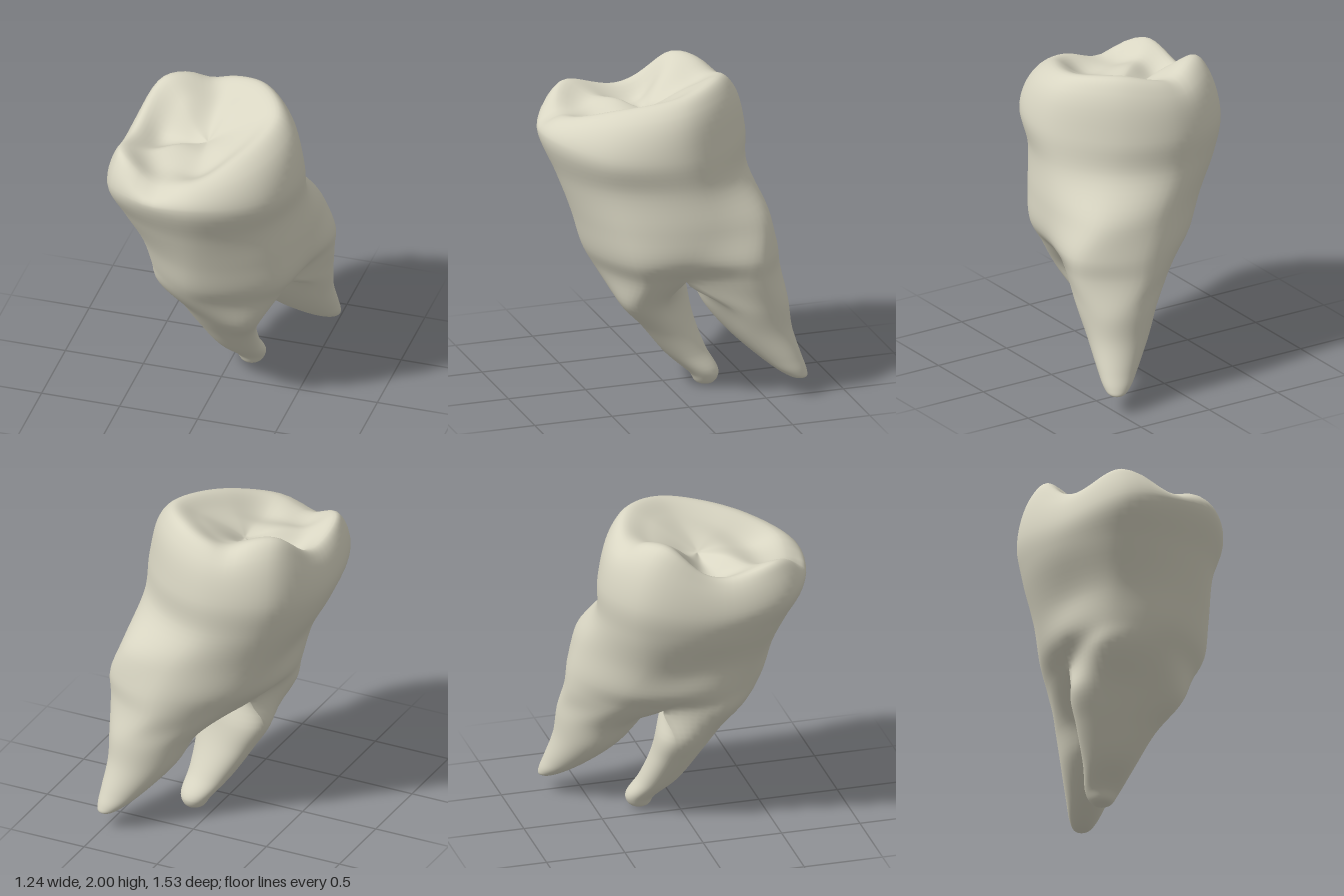
import * as THREE from 'three';
import { mergeVertices } from 'three/addons/utils/BufferGeometryUtils.js';

const N = 64;      // points round a ring
const H = N / 2;
const STEPS = 6;   // rows between two sections
const V = (x, y, z) => new THREE.Vector3(x, y, z);

// smooth closed ring through eight [x, z] or [x, y, z] corners:
// right fork, front, left fork, back, with corners between
function ring(corners, y) {
  const pts = corners.map(c => c.length === 3 ? V(...c) : V(c[0], y, c[1]));
  const curve = new THREE.CatmullRomCurve3(pts, true);
  return Array.from({ length: N }, (_, i) => curve.getPoint(i / N));
}

// elliptical root section, turned by tilt; the first half of the points
// sweeps the wide outer face, the second half the narrower face at the fork
function ellipse([y, cx, cz, a, b], tilt, start) {
  const outer = Math.PI * 1.28, inner = Math.PI * 2 - outer;
  return Array.from({ length: N }, (_, i) => {
    const t = start + Math.min(i / H, 1) * outer + Math.max(i / H - 1, 0) * inner;
    const u = a * Math.cos(t), w = b * Math.sin(t);
    return V(cx + u * Math.cos(tilt) - w * Math.sin(tilt), y,
      cz + u * Math.sin(tilt) + w * Math.cos(tilt));
  });
}

// splines run down through the sections; those before "first" and after "end" only guide the tangents
function loft(sections, first, end, out) {
  const last = sections.length - 1;
  const columns = Array.from({ length: N }, (_, i) => {
    const curve = new THREE.CatmullRomCurve3(sections.map(s => s[i]));
    const col = [];
    for (let k = 0; k <= (end - first) * STEPS; k++) {
      col.push(curve.getPoint((first + k / STEPS) / last));
    }
    return col;
  });
  for (let i = 0; i < N; i++) {
    const p = columns[i], q = columns[(i + 1) % N];
    for (let k = 0; k < p.length - 1; k++) {
      for (const v of [p[k], q[k], p[k + 1], q[k], q[k + 1], p[k + 1]]) out.push(v.x, v.y, v.z);
    }
  }
}

// crown crest with cusps, then outlines down to the fork
const rimCorners = [[0.36, 1.965, -0.01], [0.23, 1.885, 0.38], [-0.02, 1.8, 0.61], [-0.49, 1.86, 0.47],
  [-0.51, 1.79, 0.14], [-0.42, 1.99, -0.2], [-0.1, 1.95, -0.38], [0.18, 2.0, -0.29]];
const outlines = [
  [1.62, [[0.53, 0], [0.42, 0.48], [0, 1.67, 0.755], [-0.53, 1.62, 0.58], [-0.62, 1.56, 0.1], [-0.49, -0.38], [-0.1, -0.54], [0.27, -0.4]]],
  [1.4, [[0.53, -0.05], [0.39, 0.43], [0, 0.66], [-0.47, 0.48], [-0.58, 0.05], [-0.45, -0.37], [-0.08, -0.54], [0.32, -0.39]]],
  [1.15, [[0.57, -0.1], [0.42, 0.38], [-0.02, 0.575], [-0.39, 0.36], [-0.445, 0], [-0.36, -0.35], [0.08, -0.6], [0.47, -0.5]]],
  [0.94, [[0.56, -0.04], [0.44, 0.33], [-0.04, 0.51], [-0.36, 0.28], [-0.39, -0.1], [-0.22, -0.43], [0.2, -0.65], [0.59, -0.46]]],
  [0.8, [[0.45, 0], [0.4, 0.27], [-0.03, 0.435], [-0.36, 0.2], [-0.24, -0.18], [-0.1, -0.46], [0.23, -0.665], [0.59, -0.45]]],
];

// root sections: y, centre x, centre z, radius x, radius z
const frontSections = [[0.6, 0.005, 0.075, 0.35, 0.2], [0.42, 0.015, -0.015, 0.25, 0.155],
  [0.22, 0.065, -0.12, 0.16, 0.125], [0.08, 0.12, -0.225, 0.1, 0.09],
  [0.02, 0.125, -0.23, 0.06, 0.06], [0, 0.13, -0.23, 0, 0]];
const backSections = [[0.6, 0.3, -0.425, 0.28, 0.25], [0.42, 0.34, -0.5, 0.22, 0.19],
  [0.25, 0.415, -0.61, 0.145, 0.125], [0.16, 0.465, -0.68, 0.09, 0.085],
  [0.12, 0.49, -0.715, 0.05, 0.05], [0.105, 0.49, -0.725, 0, 0]];

// grooves pressed into the chewing surface: x, z, radius, depth
const grooves = [[-0.24, 0.64, 0.14, 0.08], [-0.32, 0.46, 0.13, 0.05], [-0.38, 0.0, 0.12, 0.07],
  [-0.16, 0.03, 0.13, 0.06], [-0.18, -0.38, 0.09, 0.03]];

export function createModel() {
  const group = new THREE.Group();
  group.name = 'tooth';

  // chewing basin, crest and shoulder
  const rim = ring(rimCorners);
  const body = outlines.map(([y, corners]) => ring(corners, y));
  const centre = V(-0.06, 1.79, 0.09);
  const inner = (t, height) => rim.map(p => {
    const q = p.clone().lerp(centre, t);
    q.y = height(p.y);
    return q;
  });
  const shoulder = rim.map((p, i) => {
    const q = body[0][i].clone().lerp(p, 0.4);
    q.y = THREE.MathUtils.lerp(body[0][i].y, p.y, 0.72);
    return q;
  });

  // saddle across the fork joins the two halves of the lowest outline
  const fork = body[4], above = body[3];
  const middle = fork[0].clone().lerp(fork[H], 0.5).setY(0.82);
  const saddle = new THREE.CatmullRomCurve3([fork[0], middle, fork[H]]).getPoints(H).slice(1, H);
  const shifted = dz => saddle.map(p => V(p.x, p.y + 0.01, p.z + dz));
  const frontHalf = (r, bridge) => [...r.slice(0, H + 1), ...bridge.slice().reverse()];
  const backHalf = (r, bridge) => [...r.slice(H), r[0], ...bridge];

  const frontRoot = frontSections.map(s => ellipse(s, 0.6, -0.95));
  const backRoot = backSections.map(s => ellipse(s, -0.6, 3.55));
  const below = [...frontRoot[0].slice(0, H), ...backRoot[0].slice(0, H)];
  const crown = [rim.map(() => centre.clone()), inner(0.7, y => 1.81 + (y - 1.88) * 0.4),
    inner(0.35, y => y - 0.06), rim, shoulder, ...body, below];

  const parts = [
    ['crownAndNeck', crown, 0, crown.length - 2],
    ['frontRoot', [frontHalf(above, shifted(-0.06)), frontHalf(fork, saddle), ...frontRoot], 1, 7],
    ['backRoot', [backHalf(above, shifted(0.06)), backHalf(fork, saddle), ...backRoot], 1, 7],
  ];
  const positions = [], ranges = [];
  for (const [name, sections, first, end] of parts) {
    const start = positions.length / 3;
    loft(sections, first, end, positions);
    ranges.push([name, start, positions.length / 3]);
  }

  // press in the grooves
  for (let i = 0; i < positions.length; i += 3) {
    const [x, y, z] = positions.slice(i, i + 3);
    const fade = THREE.MathUtils.smoothstep(y, 1.6, 1.8);
    for (const [gx, gz, r, depth] of grooves) {
      positions[i + 1] -= fade * depth * Math.exp(-((x - gx) ** 2 + (z - gz) ** 2) / (r * r));
    }
  }

  // weld everything so that shading runs smoothly from crown into roots
  let skin = new THREE.BufferGeometry();
  skin.setAttribute('position', new THREE.Float32BufferAttribute(positions, 3));
  skin = mergeVertices(skin, 1e-4);
  skin.computeVertexNormals();

  const material = new THREE.MeshStandardMaterial({ color: 0xd9d6c3 });
  const index = Array.from(skin.index.array);
  for (const [name, start, end] of ranges) {
    const geometry = new THREE.BufferGeometry();
    geometry.setAttribute('position', skin.attributes.position);
    geometry.setAttribute('normal', skin.attributes.normal);
    geometry.setIndex(index.slice(start, end));
    const mesh = new THREE.Mesh(geometry, material);
    mesh.name = name;
    group.add(mesh);
  }
  return group;
}
